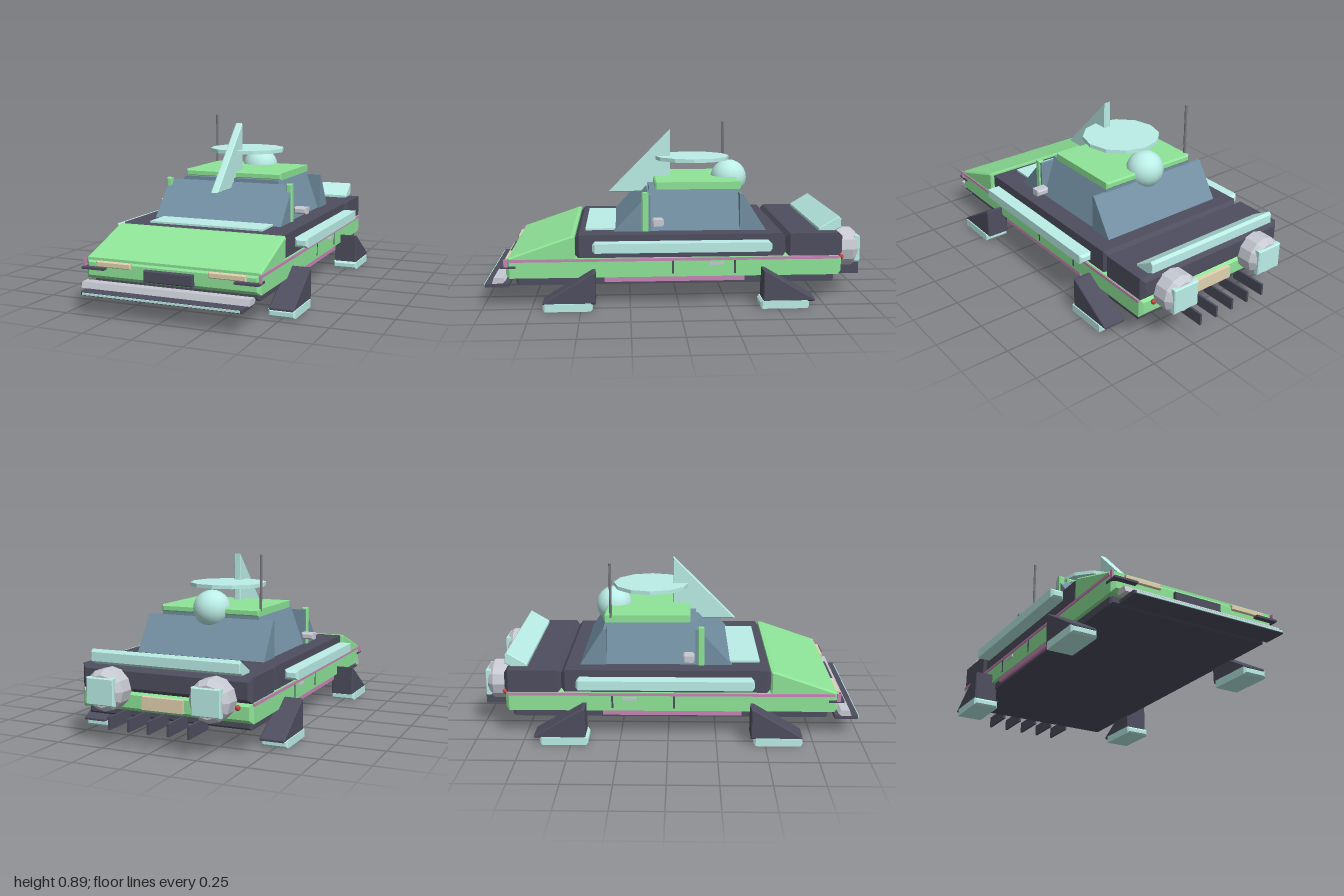
import * as THREE from 'three';

const mat = (color) => new THREE.MeshStandardMaterial({ color, flatShading: true });

export function createModel() {
  const car = new THREE.Group();
  const green = mat(0x8ee598), teal = mat(0xbcefe8), dark = mat(0x4e4e5f), glass = mat(0x7390a3);
  const grey = mat(0xc8cad4), pink = mat(0xc986b8), beige = mat(0xe2d3b0), red = mat(0xcc4444);

  function add(name, geometry, material) {
    const mesh = new THREE.Mesh(geometry, material);
    mesh.name = name;
    car.add(mesh);
    return mesh;
  }

  // Chamfered box given by its limits on each axis
  function box(name, [x0, x1], [y0, y1], [z0, z1], material, b = 0) {
    let g;
    if (b > 0) {
      const w = (x1 - x0) / 2 - b, h = (y1 - y0) / 2 - b, d = z1 - z0 - 2 * b;
      const s = new THREE.Shape([[-w, -h], [w, -h], [w, h], [-w, h]].map((p) => new THREE.Vector2(...p)));
      g = new THREE.ExtrudeGeometry(s, { depth: d, bevelSize: b, bevelThickness: b, bevelSegments: 1 });
      g.translate(0, 0, -d / 2);
    } else g = new THREE.BoxGeometry(x1 - x0, y1 - y0, z1 - z0);
    g.translate((x0 + x1) / 2, (y0 + y1) / 2, (z0 + z1) / 2);
    return add(name, g, material);
  }

  // Side profile of [z, y] points extruded across x
  function prism(name, points, [x0, x1], material, b = 0) {
    const s = new THREE.Shape(points.map((p) => new THREE.Vector2(...p)));
    const g = new THREE.ExtrudeGeometry(s, {
      depth: x1 - x0 - 2 * b, bevelEnabled: b > 0, bevelSize: b, bevelOffset: -b, bevelThickness: b, bevelSegments: 1,
    });
    g.rotateY(-Math.PI / 2).translate(x1 - b, 0, 0);
    return add(name, g, material);
  }

  // Hull and decks
  box('chassis', [-0.44, 0.44], [0.112, 0.165], [-0.81, 0.83], dark, 0.01);
  box('lowerBody', [-0.46, 0.46], [0.15, 0.25], [-0.845, 0.88], green, 0.018);
  prism('hood', [[0.53, 0.235], [0.87, 0.235], [0.87, 0.255], [0.55, 0.365], [0.53, 0.365]], [-0.46, 0.46], green, 0.008);
  box('middleDeck', [-0.45, 0.45], [0.245, 0.368], [-0.555, 0.53], dark, 0.02);
  box('rearDeck', [-0.457, 0.457], [0.245, 0.368], [-0.85, -0.555], dark, 0.02);
  box('cowlPanel', [-0.315, 0.315], [0.36, 0.378], [0.2, 0.48], teal);

  // Cabin with tapered sides, sloped windows and roof
  const cabin = new THREE.BoxGeometry(0.7, 0.215, 0.48);
  const p = cabin.attributes.position;
  for (let i = 0; i < p.count; i++) if (p.getY(i) > 0) p.setX(i, p.getX(i) * 0.78);
  cabin.translate(0, 0.4725, -0.095);
  add('cabin', cabin, glass);
  prism('windshield', [[0.14, 0.365], [0.335, 0.365], [0.155, 0.56], [0.14, 0.56]], [-0.36, 0.36], glass);
  prism('rearWindow', [[-0.325, 0.365], [-0.325, 0.56], [-0.34, 0.56], [-0.465, 0.365]], [-0.36, 0.36], glass);
  box('roof', [-0.28, 0.28], [0.575, 0.613], [-0.342, 0.115], green, 0.008);

  // Roof equipment
  add('roofDisc', new THREE.CylinderGeometry(0.207, 0.207, 0.02, 12).translate(0, 0.714, -0.1), teal);
  add('roofDome', new THREE.SphereGeometry(0.1, 16, 12).translate(0, 0.6, -0.305),
    new THREE.MeshStandardMaterial({ color: 0xbcefe8 }));
  prism('roofFin', [[0.02, 0.527], [0.36, 0.527], [0.02, 0.87]], [-0.02, 0.02], teal, 0.005);
  add('antenna', new THREE.CylinderGeometry(0.007, 0.007, 0.29, 8).translate(-0.277, 0.745, -0.305), mat(0x77777f));

  // Rear wing, plate and diffuser blades
  prism('rearWing', [[-0.735, 0.368], [-0.735, 0.382], [-0.84, 0.445], [-0.852, 0.43], [-0.852, 0.385], [-0.82, 0.368]],
    [-0.4, 0.4], teal, 0.004);
  box('rearPlate', [-0.11, 0.11], [0.17, 0.235], [-0.865, -0.84], beige);
  for (let i = -2; i <= 2; i++) {
    box('diffuserBlade', [i * 0.105 - 0.006, i * 0.105 + 0.006], [0.093, 0.155], [-1, -0.8], dark);
  }

  // Front bumper, splitter and nose box
  prism('bumper', [[0.885, 0.135], [0.9, 0.12], [0.955, 0.12], [0.945, 0.15], [0.9, 0.15]], [-0.44, 0.44], grey);
  box('splitter', [-0.42, 0.42], [0.095, 0.115], [0.87, 0.995], dark, 0.004);
  box('splitterStrip', [-0.41, 0.41], [0.099, 0.109], [0.99, 1], teal);
  box('noseBox', [-0.13, 0.13], [0.163, 0.222], [0.84, 0.9], dark, 0.005);

  // Parts mirrored left and right
  for (const s of [-1, 1]) {
    const side = (a, b) => (s > 0 ? [a, b] : [-b, -a]);
    box('pinkStripe', side(0.45, 0.466), [0.234, 0.248], [-0.83, 0.86], pink);
    box('sill', side(0.43, 0.456), [0.125, 0.162], [-0.34, 0.38], pink);
    for (const z of [0.03, -0.29]) box('doorSeam', side(0.45, 0.462), [0.165, 0.235], [z - 0.005, z + 0.005], dark);
    box('doorHandle', side(0.45, 0.466), [0.21, 0.224], [-0.235, -0.16], grey);
    box('sideRail', side(0.47, 0.54), [0.292, 0.34], [-0.47, 0.44], teal, 0.012);
    box('windowPost', side(0.335, 0.367), [0.365, 0.57], [0.152, 0.187], green, 0.006);
    box('mirror', side(0.36, 0.43), [0.405, 0.44], [0.075, 0.135], grey, 0.008);
    box('headlight', side(0.205, 0.395), [0.214, 0.242], [0.86, 0.892], beige, 0.004);
    box('headlightTrim', side(0.342, 0.465), [0.202, 0.213], [0.83, 0.91], dark);
    box('cornerMarker', side(0.458, 0.468), [0.21, 0.25], [0.87, 0.89], pink);

    // Hover legs with foot pads, front and rear
    for (const f of [1, -1]) {
      const pts = [[0.425 * f, 0.035], [0.69 * f, 0.035], [0.69 * f, 0.045], [0.44 * f, 0.195], [0.425 * f, 0.195]];
      prism('leg', f > 0 ? pts : pts.reverse(), side(0.43, 0.556), dark, 0.005);
      box('footPad', side(0.425, 0.562), [0, 0.04], f > 0 ? [0.44, 0.69] : [-0.66, -0.41], teal, 0.01);
    }

    // Thrusters with square nozzles and tail lights
    add('thruster', new THREE.CylinderGeometry(0.105, 0.105, 0.08, 12)
      .rotateX(Math.PI / 2).translate(s * 0.28, 0.262, -0.885), grey);
    add('thrusterTaper', new THREE.CylinderGeometry(0.105, 0.08, 0.03, 12)
      .rotateX(Math.PI / 2).translate(s * 0.28, 0.262, -0.94), grey);
    box('nozzle', side(0.205, 0.355), [0.195, 0.33], [-0.968, -0.935], teal, 0.005);
    add('tailLight', new THREE.SphereGeometry(0.014, 8, 6).translate(s * 0.392, 0.228, -0.858), red);
  }
  return car;
}
